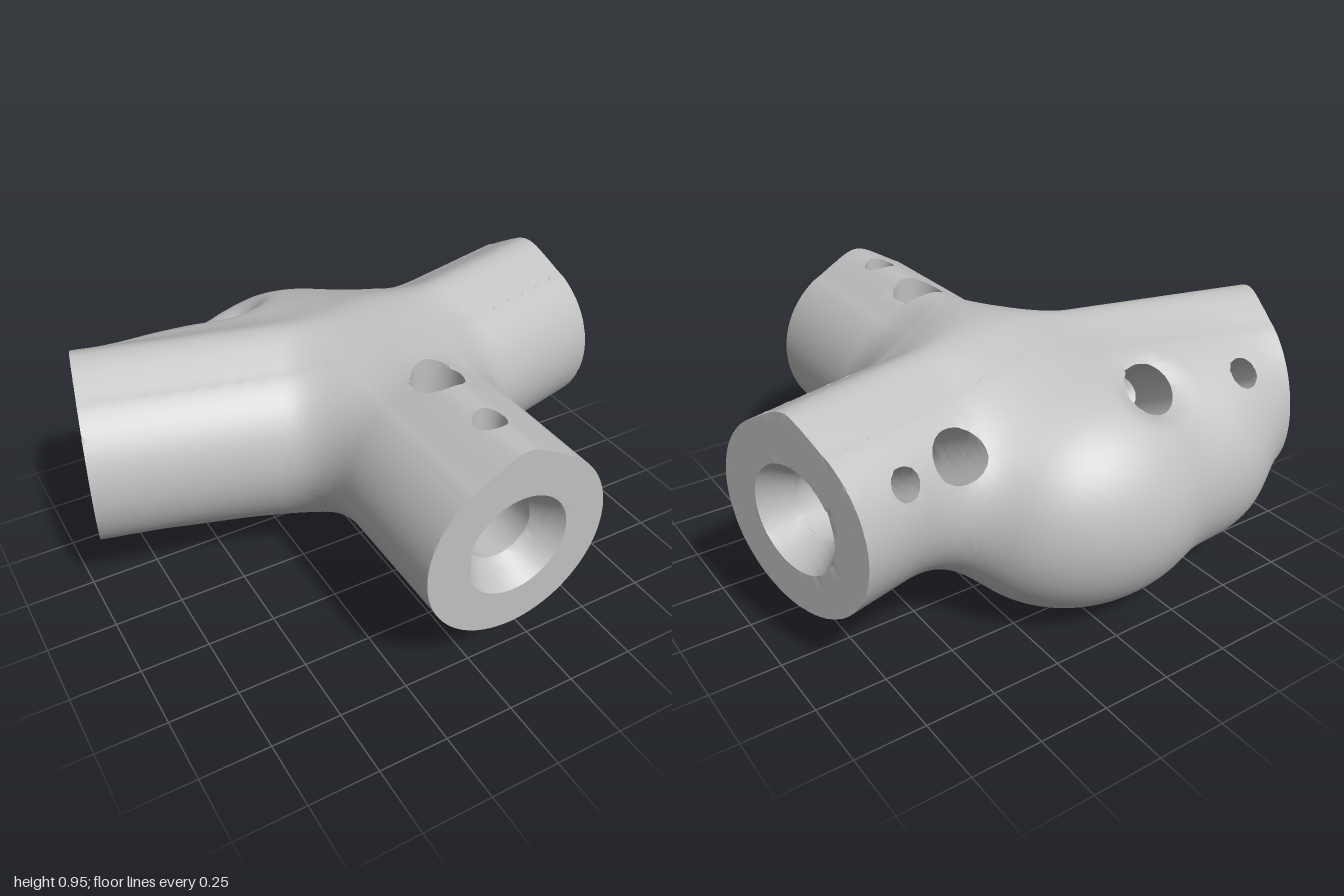
import * as THREE from 'three';
import { mergeVertices, toCreasedNormals } from 'three/addons/utils/BufferGeometryUtils.js';

// The three arms meet at this point
const J = { x: 0.085, y: 0.56, z: -0.075 };

// lean: direction of the screw holes across the arm (sideways, up)
// holes: distance from the open end, radius
const makeArm = (endX, endZ, depth, lean, holes) => {
  const length = Math.hypot(endX - J.x, endZ - J.z);
  return { length, dx: (endX - J.x) / length, dz: (endZ - J.z) / length, depth, lean, holes };
};
const arms = [
  makeArm(0.92, -0.285, 0.51, [0.88, 0.475], [[0.41, 0.09], [0.195, 0.053]]),
  makeArm(-0.92, -0.33, 0.68, [-0.86, 0.51], [[0.585, 0.09], [0.197, 0.055]]),
  makeArm(0.085, 0.845, 0.585, [0, 1], [[0.485, 0.09], [0.195, 0.055]]),
];

// Smooth union, used for the fillets
const blend = (a, b, k) => {
  const h = Math.max(k - Math.abs(a - b), 0) / k;
  return Math.min(a, b) - h * h * k * 0.25;
};

// Circle of radius r with a pointed top at height apex; soft rounds the point
const teardrop = (u, v, r, apex, soft) => {
  const c = r / apex, d = Math.hypot(u, v);
  return v > d * c ? Math.hypot(u, soft) * Math.sqrt(1 - c * c) + v * c - r : d - r;
};

const ellipsoid = (x, y, z, cx, cy, cz, rx, ry, rz) =>
  (Math.hypot((x - cx) / rx, (y - cy) / ry, (z - cz) / rz) - 1) * Math.min(rx, ry, rz);

// Solid of the joint: negative inside, positive outside
function joint(x, y, z) {
  const v = y - J.y;
  // Swollen back of the hub
  let solid = blend(
    ellipsoid(x, y, z, -0.075, 0.425, -0.41, 0.52, 0.42, 0.44),
    ellipsoid(x, y, z, -0.53, 0.425, -0.46, 0.3, 0.335, 0.31), 0.13);
  let ends = -1, cut = 1;
  let tubes = 1e3;
  for (const a of arms) {
    const px = x - J.x, pz = z - J.z;
    const s = px * a.dx + pz * a.dz, u = px * a.dz - pz * a.dx;
    const fromEnd = a.length - s;
    // Outer tube, rounded off inside the hub
    tubes = blend(tubes, teardrop(Math.hypot(u, Math.min(s, 0)), v, 0.335, 0.395, 0.04), 0.15);
    ends = Math.max(ends, -fromEnd);
    // Bore with a funnel mouth
    const bore = Math.max(teardrop(u, v, 0.12, 0.165, 0), fromEnd - a.depth);
    const funnel = Math.max((Math.hypot(u, v) - 0.187 + 0.65 * fromEnd) * 0.84, fromEnd - 0.1);
    cut = Math.min(cut, bore, funnel);
    // Screw holes
    const out = u * a.lean[0] + v * a.lean[1], across = u * a.lean[1] - v * a.lean[0];
    for (const [at, r] of a.holes)
      cut = Math.min(cut, Math.max(Math.hypot(across, fromEnd - at) - r, -out));
  }
  solid = blend(solid, tubes, 0.17);
  // Levelled crown of the hub
  solid = -blend(-solid, 0.96 - y, 0.05);
  // Soft hollow behind the large hole in the swollen side
  const hollow = Math.hypot(x + 0.26, y - 0.86, z + 0.61) - 0.13;
  solid = -blend(-solid, hollow, 0.08);
  return Math.max(solid, ends, -cut);
}

// Skin a solid with quads, keeping its sharp edges
function skin(field, min, max, step) {
  const n = min.map((m, i) => Math.ceil((max[i] - m) / step) + 1);
  const stride = [1, n[0], n[0] * n[1]];
  const value = new Float64Array(n[0] * n[1] * n[2]);
  const at = (i, axis) => min[axis] + i * step;
  for (let k = 0, q = 0; k < n[2]; k++)
    for (let j = 0; j < n[1]; j++)
      for (let i = 0; i < n[0]; i++) value[q++] = field(at(i, 0), at(j, 1), at(k, 2));

  // Surface point and normal on a grid edge
  const crossings = new Map();
  const crossing = (cell, axis, q) => {
    const key = q * 3 + axis;
    if (crossings.has(key)) return crossings.get(key);
    const p = cell.map(at), start = p[axis], sign = value[q] < 0;
    let lo = 0, hi = step;
    for (let t = 0; t < 9; t++) {
      const mid = (lo + hi) / 2;
      p[axis] = start + mid;
      if ((field(p[0], p[1], p[2]) < 0) === sign) lo = mid; else hi = mid;
    }
    const e = 1e-4, [x, y, z] = p;
    const g = [
      field(x + e, y, z) - field(x - e, y, z),
      field(x, y + e, z) - field(x, y - e, z),
      field(x, y, z + e) - field(x, y, z - e)];
    const len = Math.hypot(...g) || 1;
    const hit = { p, g: g.map((c) => c / len) };
    crossings.set(key, hit);
    return hit;
  };

  // One vertex per surface cell, moved to where its tangent planes meet
  const positions = [], index = [], vertexOf = new Map();
  const vertex = (cell) => {
    const q = cell[0] + cell[1] * stride[1] + cell[2] * stride[2];
    if (vertexOf.has(q)) return vertexOf.get(q);
    const hits = [];
    for (let a = 0; a < 3; a++) {
      const b = (a + 1) % 3, c = (a + 2) % 3;
      for (let m = 0; m < 4; m++) {
        const corner = [...cell];
        corner[b] += m & 1;
        corner[c] += m >> 1;
        const w = corner[0] + corner[1] * stride[1] + corner[2] * stride[2];
        if ((value[w] < 0) !== (value[w + stride[a]] < 0)) hits.push(crossing(corner, a, w));
      }
    }
    const p = [0, 1, 2].map((a) => hits.reduce((sum, h) => sum + h.p[a], 0) / hits.length);
    for (let t = 0; t < 20; t++)
      for (const { p: o, g } of hits) {
        const d = 0.5 * (g[0] * (o[0] - p[0]) + g[1] * (o[1] - p[1]) + g[2] * (o[2] - p[2]));
        for (let a = 0; a < 3; a++) p[a] += g[a] * d;
      }
    for (let a = 0; a < 3; a++) {
      const low = at(cell[a], a);
      p[a] = Math.min(Math.max(p[a], low), low + step);
    }
    vertexOf.set(q, positions.length / 3);
    positions.push(...p);
    return vertexOf.get(q);
  };

  // A quad around every grid edge that passes through the surface
  for (let k = 1; k < n[2] - 1; k++)
    for (let j = 1; j < n[1] - 1; j++)
      for (let i = 1; i < n[0] - 1; i++) {
        const q = i + j * stride[1] + k * stride[2];
        for (let a = 0; a < 3; a++) {
          const inside = value[q] < 0;
          if (inside === value[q + stride[a]] < 0) continue;
          const b = (a + 1) % 3, c = (a + 2) % 3;
          const quad = [[0, 0], [1, 0], [1, 1], [0, 1]].map(([db, dc]) => {
            const cell = [i, j, k];
            cell[b] -= db;
            cell[c] -= dc;
            return vertex(cell);
          });
          if (!inside) quad.reverse();
          index.push(quad[0], quad[1], quad[2], quad[0], quad[2], quad[3]);
        }
      }

  const geometry = new THREE.BufferGeometry();
  geometry.setAttribute('position', new THREE.Float32BufferAttribute(positions, 3));
  geometry.setIndex(index);
  return mergeVertices(geometry, 0.004);
}

export function createModel() {
  const grey = new THREE.MeshStandardMaterial({ color: 0xc0c0c0 });
  grey.name = 'grey';

  // Three-way pipe joint with bores and screw holes
  const geometry = skin(joint, [-1.063, -0.067, -0.937], [1.06, 1.05, 0.92], 0.02);
  geometry.computeBoundingBox();
  geometry.translate(0, -geometry.boundingBox.min.y, 0);
  const body = new THREE.Mesh(toCreasedNormals(geometry, 0.55), grey);
  body.name = 'threeWayJoint';

  const model = new THREE.Group();
  model.name = 'pipeJoint';
  model.add(body);
  return model;
}
